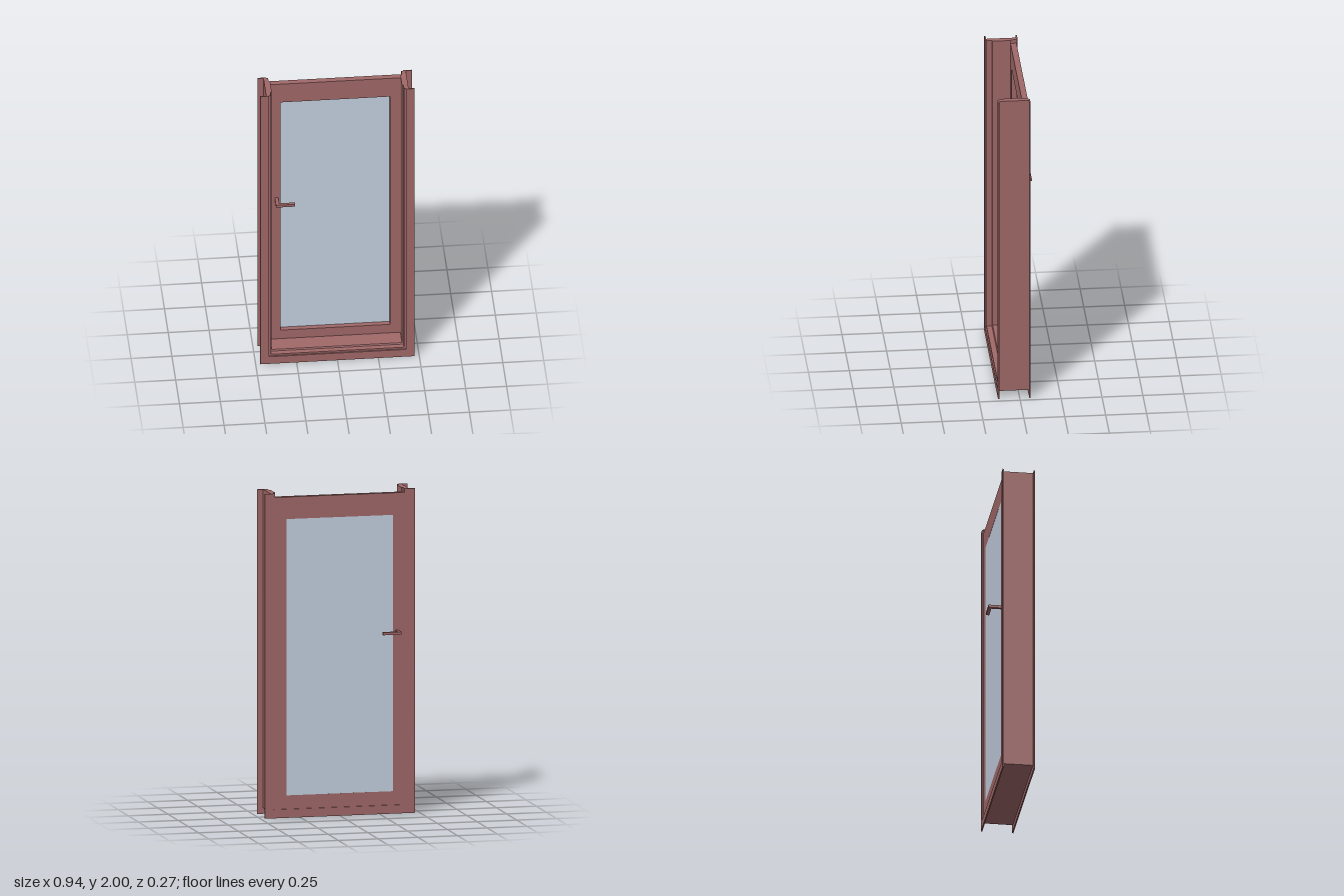
import * as THREE from 'three';

const HALF_W = 0.472, TOP = 2;
const wood = new THREE.MeshStandardMaterial({ color: 0xa06868, flatShading: true });
const pane = new THREE.MeshStandardMaterial({ color: 0xc4d0e0 });

// Frame section: [inset from the outer edge, z], counter-clockwise
const SECTION = [
  [0, 0.125], [0.037, 0.125], [0.037, -0.058], [0, -0.058], [0, -0.066], [0.053, -0.066],
  [0.053, -0.058], [0.065, -0.058], [0.065, -0.021], [0.074, -0.021], [0.074, 0.088],
  [0.065, 0.092], [0.065, 0.125], [0.053, 0.125], [0.053, 0.133], [0, 0.133],
];

// Sweep the section down one jamb, along the sill and up the other, mitred at the corners
function frameGeometry() {
  const stations = [[-1, false], [-1, true], [1, true], [1, false]];
  const rings = stations.map(([side, low]) =>
    SECTION.map(([t, z]) => [side * (HALF_W - t), low ? t : TOP, z]));
  const pos = [];
  const tri = (a, b, c) => pos.push(...a, ...b, ...c);
  const n = SECTION.length;
  for (let s = 0; s < 3; s++) {
    for (let j = 0; j < n; j++) {
      const k = (j + 1) % n, r = rings[s], q = rings[s + 1];
      tri(r[j], r[k], q[k]);
      tri(r[j], q[k], q[j]);
    }
  }
  // Top ends of the two jambs
  const contour = SECTION.map(([t, z]) => new THREE.Vector2(t, z));
  for (const [a, b, c] of THREE.ShapeUtils.triangulateShape(contour, [])) {
    tri(rings[3][a], rings[3][b], rings[3][c]);
    tri(rings[0][a], rings[0][c], rings[0][b]);
  }
  const g = new THREE.BufferGeometry();
  g.setAttribute('position', new THREE.Float32BufferAttribute(pos, 3));
  g.computeVertexNormals();
  return g;
}

function rect(path, x, y0, y1) {
  path.moveTo(-x, y0);
  path.lineTo(x, y0);
  path.lineTo(x, y1);
  path.lineTo(-x, y1);
  path.closePath();
  return path;
}

function mesh(name, geometry, material = wood) {
  const m = new THREE.Mesh(geometry, material);
  m.name = name;
  return m;
}

// L-shaped lever seen from above: post out of the door, then grip towards the middle
function lever(name, root, tip) {
  const d = Math.sign(tip - root), inner = tip - d * 0.02;
  const pts = [[-0.369, root], [-0.349, root], [-0.349, inner], [-0.253, inner], [-0.253, tip], [-0.369, tip]];
  const shape = new THREE.Shape(pts.map(([x, z]) => new THREE.Vector2(x, -z)));
  const g = new THREE.ExtrudeGeometry(shape, { depth: 0.017, bevelEnabled: false });
  g.rotateX(-Math.PI / 2).translate(0, 1.113, 0);
  return mesh(name, g);
}

export function createModel() {
  const group = new THREE.Group();
  group.name = 'glazedDoor';
  group.add(mesh('frame', frameGeometry()));

  // Door leaf with an opening for the glass
  const leaf = rect(new THREE.Shape(), 0.407, 0.065, 1.976);
  leaf.holes.push(rect(new THREE.Path(), 0.335, 0.137, 1.84));
  const leafGeo = new THREE.ExtrudeGeometry(leaf, { depth: 0.037, bevelEnabled: false });
  group.add(mesh('doorLeaf', leafGeo.translate(0, 0, -0.058)));

  // Glass set flush with the back of the leaf
  const glass = mesh('glass', new THREE.BoxGeometry(0.67, 1.703, 0.005), pane);
  glass.position.set(0, 0.9885, -0.0552);
  group.add(glass);

  group.add(lever('frontHandle', -0.021, 0.06), lever('backHandle', -0.058, -0.138));
  return group;
}
